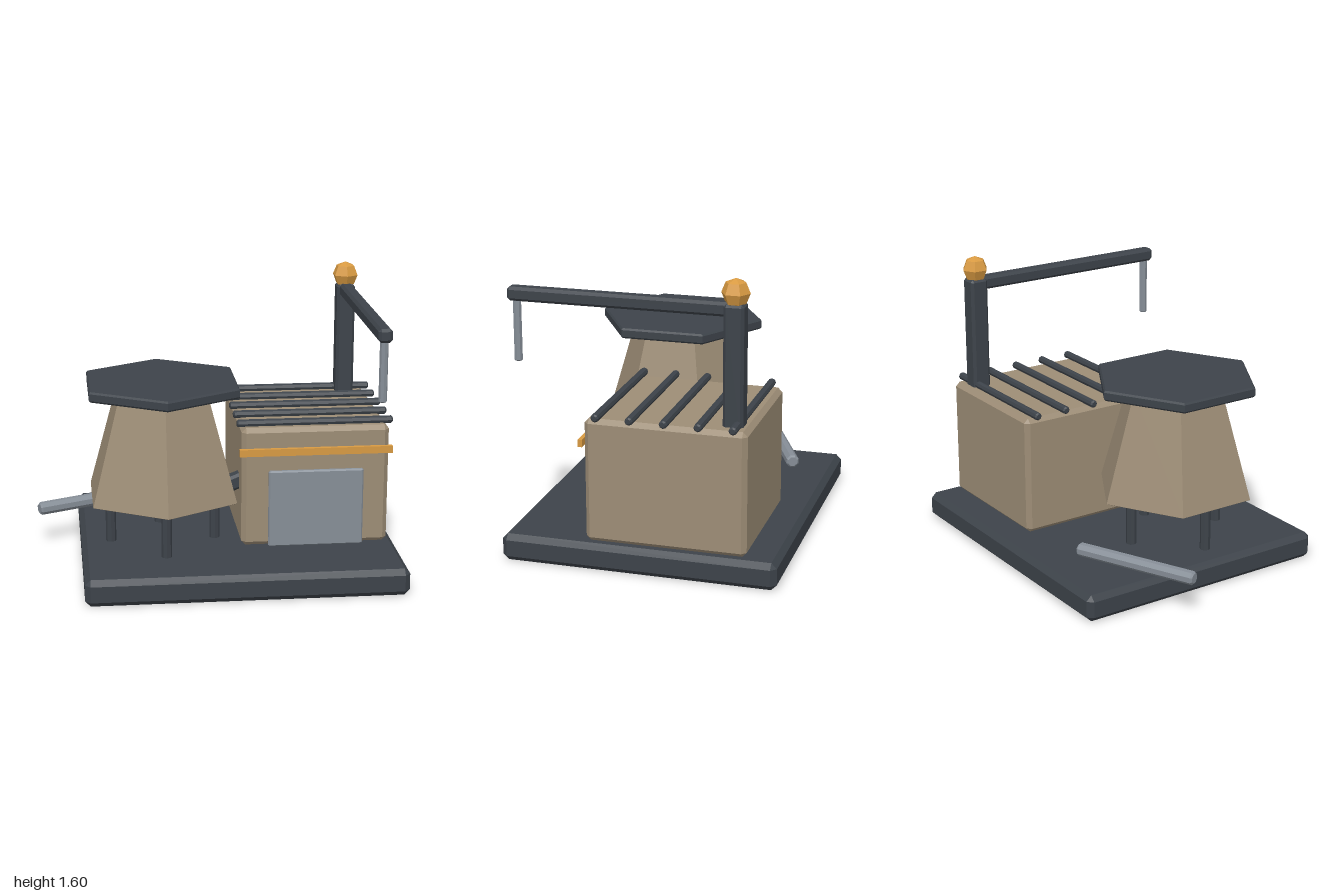
import * as THREE from 'three';
import { ConvexGeometry } from 'three/addons/geometries/ConvexGeometry.js';

export function createModel() {
  const model = new THREE.Group();
  model.name = 'workshop';

  const material = (name, color) => {
    const m = new THREE.MeshStandardMaterial({ color });
    m.name = name;
    return m;
  };
  const darkIron = material('dark iron', 0x3d434a);
  const clay = material('clay', 0x9d8d76);
  const steel = material('steel', 0x868e97);
  const brass = material('brass', 0xd89a42);

  const add = (name, geometry, mat, x, y, z) => {
    const mesh = new THREE.Mesh(geometry, mat);
    mesh.name = name;
    mesh.position.set(x, y, z);
    model.add(mesh);
    return mesh;
  };

  // Faceted normals
  const flat = (geometry) => {
    const g = geometry.index ? geometry.toNonIndexed() : geometry;
    g.computeVertexNormals();
    return g;
  };

  // Box with all edges cut at 45 degrees
  const chamferBox = (w, h, d, c) => {
    const points = [];
    for (const sx of [-1, 1]) for (const sy of [-1, 1]) for (const sz of [-1, 1]) {
      const [x, y, z] = [w / 2, h / 2, d / 2];
      points.push(
        new THREE.Vector3(sx * x, sy * (y - c), sz * (z - c)),
        new THREE.Vector3(sx * (x - c), sy * y, sz * (z - c)),
        new THREE.Vector3(sx * (x - c), sy * (y - c), sz * z));
    }
    return new ConvexGeometry(points);
  };

  // Upright prism or frustum with chamfered rims
  const prism = (bottom, top, h, sides, c) => flat(new THREE.LatheGeometry([
    [0, -h / 2], [bottom - c, -h / 2], [bottom, -h / 2 + c],
    [top, h / 2 - c], [top - c, h / 2], [0, h / 2],
  ].map(([x, y]) => new THREE.Vector2(x, y)), sides));

  // Base slab
  add('base', chamferBox(1.75, 0.15, 1.5, 0.03), darkIron, 0.125, 0.075, 0);

  // Furnace house with door and trim
  add('house', chamferBox(0.82, 0.68, 0.87, 0.025), clay, 0.545, 0.488, -0.145);
  add('door', chamferBox(0.53, 0.44, 0.03, 0.008), steel, 0.548, 0.367, 0.295);
  add('trimBand', new THREE.BoxGeometry(0.85, 0.04, 0.024), brass, 0.545, 0.697, 0.305);

  // Roof rods
  for (let i = 0; i < 5; i++) {
    const rod = add('roofRod', prism(0.022, 0.022, 0.87, 8, 0.008), darkIron,
      0.548, 0.843, 0.22 - i * 0.183);
    rod.rotation.z = Math.PI / 2;
  }

  // Crane: post, arm, hanging rod and finial
  add('cranePost', chamferBox(0.105, 0.68, 0.108, 0.015), darkIron, 0.828, 1.13, -0.485);
  add('craneArm', chamferBox(0.075, 0.075, 1.2, 0.015), darkIron, 0.828, 1.438, 0.13);
  add('hangingRod', prism(0.023, 0.023, 0.34, 8, 0.005), steel, 0.828, 1.245, 0.685);
  const finial = add('finial', flat(new THREE.SphereGeometry(0.076, 6, 4)), brass,
    0.828, 1.522, -0.485);
  finial.rotation.y = Math.PI / 6;

  // Hexagonal kiln with cap and four legs
  const [kx, kz] = [-0.292, 0.12];
  add('kiln', prism(0.456, 0.277, 0.61, 6, 0.002), clay, kx, 0.725, kz);
  add('kilnCap', prism(0.47, 0.47, 0.058, 6, 0.01), darkIron, kx, 1.05, kz);
  for (let i = 0; i < 4; i++) {
    const a = i * Math.PI / 2;
    add('kilnLeg', prism(0.029, 0.029, 0.3, 8, 0.005), darkIron,
      kx + 0.292 * Math.sin(a), 0.285, kz + 0.292 * Math.cos(a));
  }

  // Sloping chute from the kiln into the house
  const chute = add('chute', chamferBox(0.34, 0.085, 0.085, 0.015), darkIron, 0.045, 0.45, 0.12);
  chute.rotation.z = 0.38;

  // Loose steel bar beside the kiln
  const from = new THREE.Vector3(-0.983, 0.222, -0.248);
  const to = new THREE.Vector3(-0.328, 0.222, -0.54);
  const bar = add('looseBar', prism(0.038, 0.038, from.distanceTo(to), 8, 0.01), steel,
    ...from.clone().add(to).multiplyScalar(0.5).toArray());
  bar.quaternion.setFromUnitVectors(new THREE.Vector3(0, 1, 0), to.clone().sub(from).normalize());

  return model;
}
